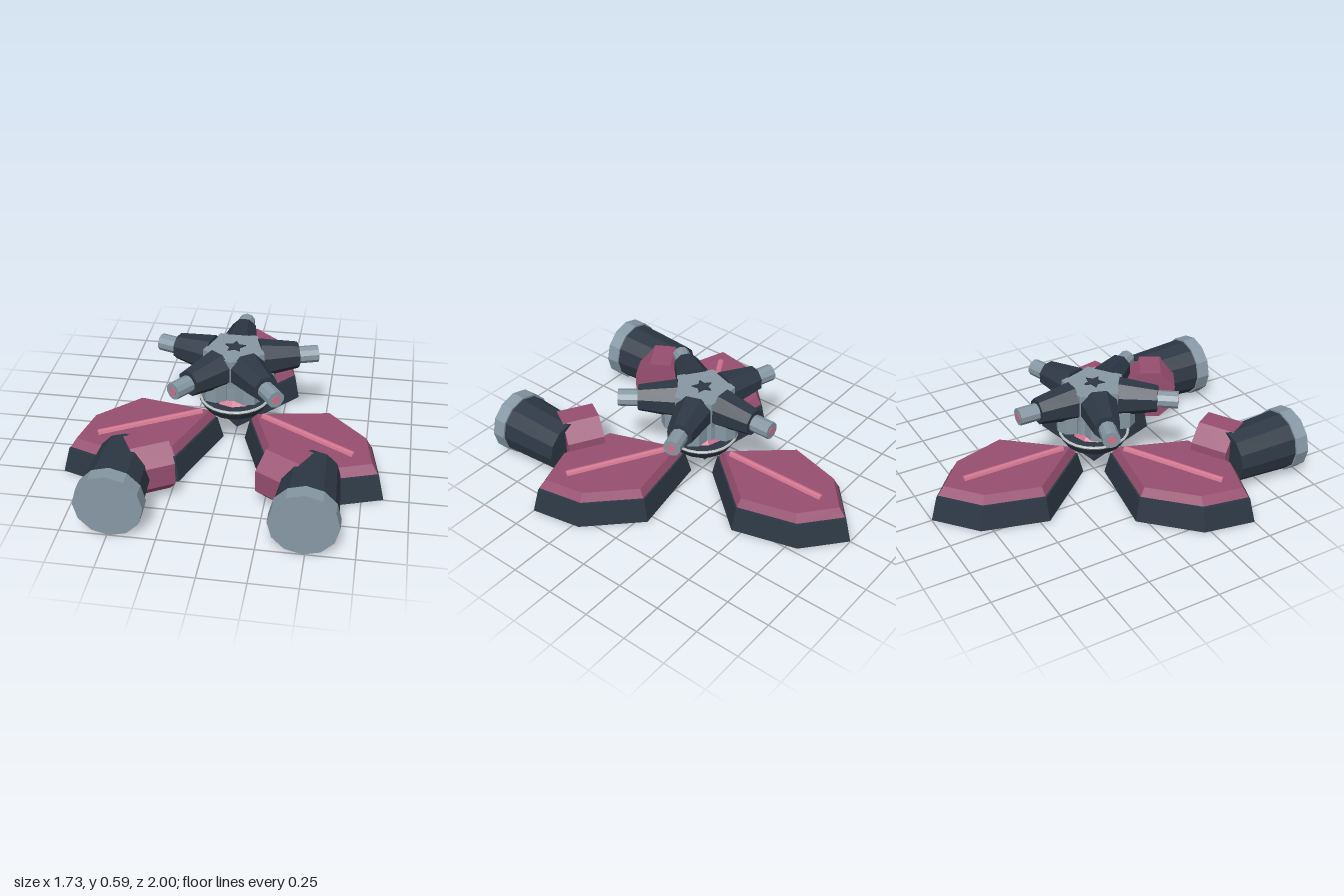
import * as THREE from 'three';

const mat = (name, color) => {
  const m = new THREE.MeshStandardMaterial({ color, flatShading: true });
  m.name = name;
  return m;
};

export function createModel() {
  const dark = mat('dark slate', 0x2d3845);
  const mauve = mat('mauve', 0x984f70);
  const grey = mat('steel grey', 0x8798a4);
  const rose = mat('rose', 0xd0738f);
  const pale = mat('pale grey', 0xbcc4bf);

  const model = new THREE.Group();
  model.name = 'turretPlatform';

  const add = (parent, name, geometry, material, x = 0, y = 0, z = 0) => {
    const mesh = new THREE.Mesh(geometry, material);
    mesh.name = name;
    mesh.position.set(x, y, z);
    parent.add(mesh);
    return mesh;
  };

  // Cylinder lying along z; rFar is the radius at the -z end
  const lying = (rFar, rNear, length, sides, turn = 0) =>
    new THREE.CylinderGeometry(rFar, rNear, length, sides).rotateY(turn).rotateX(-Math.PI / 2);

  // Leaf outline, counter-clockwise from above, pointing to -z
  const outline = [[0, -1], [-0.22, -0.81], [-0.32, -0.45], [0, -0.07], [0.32, -0.45], [0.22, -0.81]];
  const middle = -0.535;

  // Closed leaf-shaped solid from stacked cross-sections [y, scale]
  const leafSolid = (levels) => {
    const n = outline.length;
    const pos = [], index = [];
    for (const [y, s] of levels)
      for (const [x, z] of outline) pos.push(x * s, y, middle + (z - middle) * s);
    for (let l = 0; l < levels.length - 1; l++)
      for (let i = 0; i < n; i++) {
        const a = l * n + i, b = l * n + (i + 1) % n;
        index.push(a, b, b + n, a, b + n, a + n);
      }
    const top = (levels.length - 1) * n;
    for (let i = 1; i < n - 1; i++) {
      index.push(top, top + i, top + i + 1);
      index.push(0, i + 1, i);
    }
    const g = new THREE.BufferGeometry();
    g.setAttribute('position', new THREE.Float32BufferAttribute(pos, 3));
    g.setIndex(index);
    const flat = g.toNonIndexed();
    flat.computeVertexNormals();
    return flat;
  };

  // Three feet, with a cannon joint on the front edges of the two front ones
  const hull = leafSolid([[0.005, 1], [0.143, 0.92]]);
  const armour = leafSolid([[0.151, 0.9], [0.2, 0.82]]);
  const eighth = Math.PI / 8;
  for (const [name, side] of [['rear', 0], ['left', 1], ['right', -1]]) {
    const foot = new THREE.Group();
    foot.name = name + 'Foot';
    foot.rotation.y = -side * Math.PI * 2 / 3;
    model.add(foot);
    add(foot, 'footHull', hull, dark);
    add(foot, 'footArmour', armour, mauve);
    add(foot, 'footSpine', lying(0.02, 0.02, 0.6, 8), rose, 0, 0.203, -0.5);
    if (side) {
      const r = 0.15 / Math.cos(eighth);
      add(foot, 'cannonJoint', lying(r, r, 0.21, 8, eighth), mauve, side * 0.334, 0.185, -0.625);
    }
  }

  // Two forward cannons
  for (const [name, side] of [['left', 1], ['right', -1]]) {
    const cannon = new THREE.Group();
    cannon.name = name + 'Cannon';
    cannon.position.set(side * 0.488, 0.183, 0);
    model.add(cannon);
    add(cannon, 'cannonBody', lying(0.15, 0.17, 0.35, 12), dark, 0, 0, 0.745);
    add(cannon, 'cannonCap', lying(0.18, 0.18, 0.08, 12), grey, 0, 0, 0.96);
  }

  // Central pivot
  add(model, 'pivotBase', new THREE.CylinderGeometry(0.2, 0.165, 0.052, 20), dark, 0, 0.234, 0);
  const ring = new THREE.TorusGeometry(0.192, 0.008, 6, 24).rotateX(Math.PI / 2);
  add(model, 'pivotRing', ring, pale, 0, 0.268, 0);
  add(model, 'pivotCone', new THREE.CylinderGeometry(0.075, 0.125, 0.075, 10), rose, 0, 0.295, 0);

  // Turret head with a pentagonal core
  const head = new THREE.Group();
  head.name = 'turretHead';
  model.add(head);
  add(head, 'headDrum', new THREE.CylinderGeometry(0.17, 0.17, 0.1, 10), grey, 0, 0.38, 0);
  add(head, 'headCore', new THREE.CylinderGeometry(0.178, 0.178, 0.16, 5), grey, 0, 0.495, 0);

  // Small star plate on the core
  const star = new THREE.Shape();
  for (let i = 0; i < 10; i++) {
    const r = i % 2 ? 0.03 : 0.06, a = Math.PI / 2 + i * Math.PI / 5;
    star[i ? 'lineTo' : 'moveTo'](r * Math.cos(a), r * Math.sin(a));
  }
  const starPlate = new THREE.ExtrudeGeometry(star, { depth: 0.006, bevelEnabled: false });
  add(head, 'starPlate', starPlate.rotateX(-Math.PI / 2), dark, 0, 0.575, 0);

  // Five radial guns
  const c = Math.cos(eighth);
  const sleeve = lying(0.068 / c, 0.1 / c, 0.215, 8, eighth);
  const barrel = lying(0.048, 0.048, 0.14, 10);
  const bore = lying(0.024, 0.024, 0.006, 10);
  const lobe = new THREE.CylinderGeometry(0.08, 0.08, 0.1, 8);
  for (let i = 0; i < 5; i++) {
    const gun = new THREE.Group();
    gun.name = 'radialGun' + (i + 1);
    gun.rotation.y = i * Math.PI * 2 / 5;
    head.add(gun);
    add(gun, 'gunSupport', lobe, grey, 0, 0.38, -0.15);
    add(gun, 'gunSleeve', sleeve, dark, 0, 0.495, -0.245);
    add(gun, 'gunBarrel', barrel, grey, 0, 0.493, -0.395);
    add(gun, 'gunBore', bore, rose, 0, 0.493, -0.465);
  }
  return model;
}
